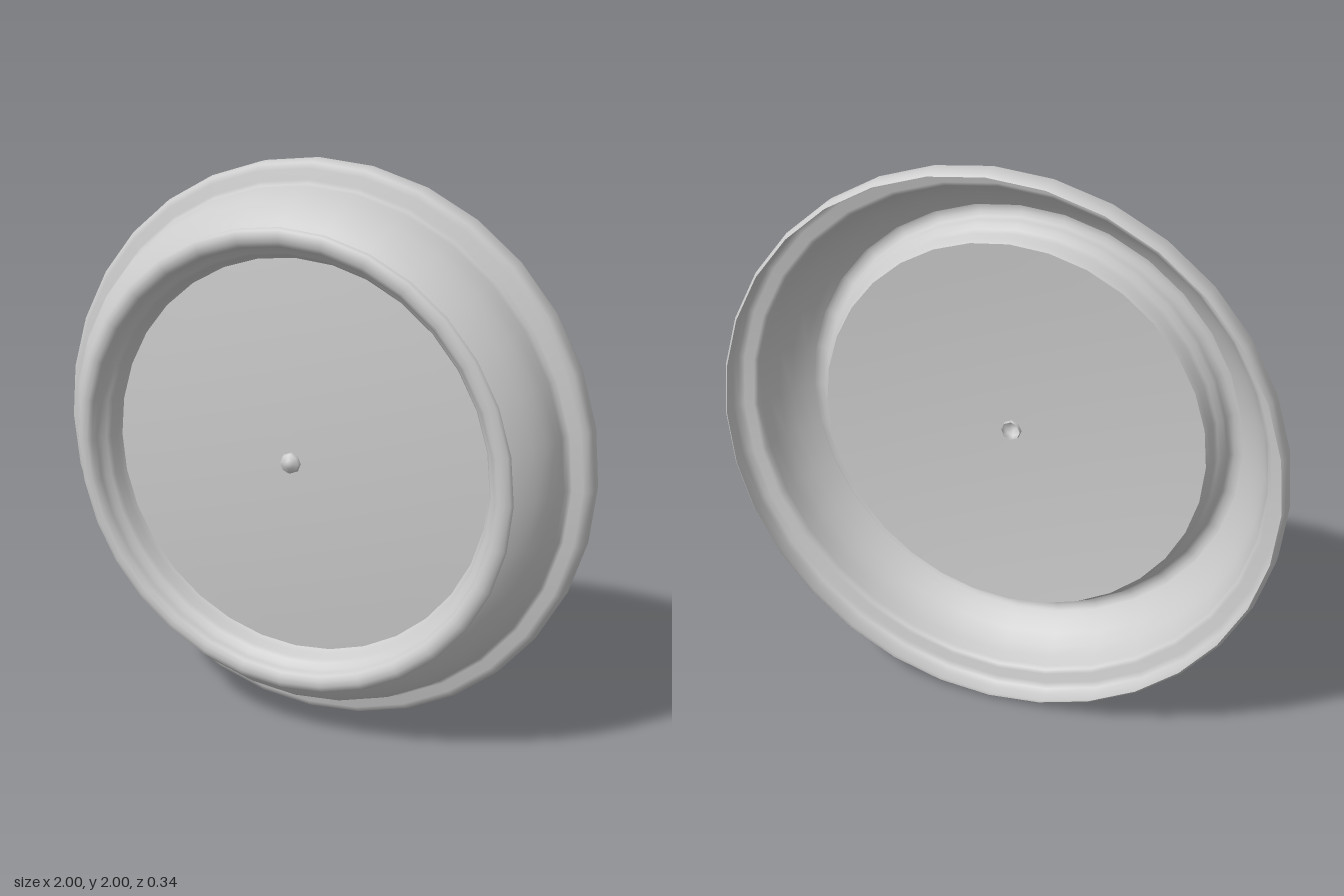
import * as THREE from 'three';

const material = new THREE.MeshStandardMaterial({ color: 0xcccccc, side: THREE.DoubleSide });

// Revolve a smoothed [radius, z] profile around the front-back axis
function revolve(name, profile, sides = 32) {
  const points = profile.map(([r, z]) => new THREE.Vector2(r, z));
  const geometry = new THREE.LatheGeometry(points, sides);
  geometry.rotateX(Math.PI / 2);
  const mesh = new THREE.Mesh(geometry, material);
  mesh.name = name;
  return mesh;
}

export function createModel() {
  const group = new THREE.Group();
  group.name = 'roundCover';

  // Thin outer shell, open at the back: rolled rim, then a curved wall
  group.add(revolve('outerShell', [
    [0.985, -0.17], [0.995, -0.16], [1, -0.14], [1, -0.1], [0.99, -0.08], [0.97, -0.07],
    [0.935, -0.066], [0.922, -0.058], [0.916, -0.04], [0.908, 0], [0.89, 0.045],
    [0.86, 0.085], [0.825, 0.12], [0.795, 0.142],
  ]));

  // Rounded bezel stepping inwards to the recessed face
  group.add(revolve('bezelRing', [
    [0.795, 0.142], [0.808, 0.143], [0.811, 0.15], [0.803, 0.16], [0.785, 0.167],
    [0.765, 0.165], [0.75, 0.155], [0.744, 0.135], [0.738, 0.115], [0.722, 0.105],
    [0.712, 0.09], [0.706, 0.06], [0.695, 0.042],
  ]));

  // Slightly domed face with a small centre hole
  const dome = [];
  for (let i = 0; i <= 8; i++) {
    const r = 0.695 + (0.034 - 0.695) * (i / 8);
    dome.push([r, 0.072 - 0.03 * (r / 0.695) ** 2]);
  }
  group.add(revolve('face', dome));

  // Hollow centre stud
  group.add(revolve('centreStud', [
    [0.034, 0.06], [0.037, 0.075], [0.034, 0.088], [0.016, 0.092], [0.013, 0.1], [0, 0.1],
  ], 8));

  group.position.y = 1;
  return group;
}
